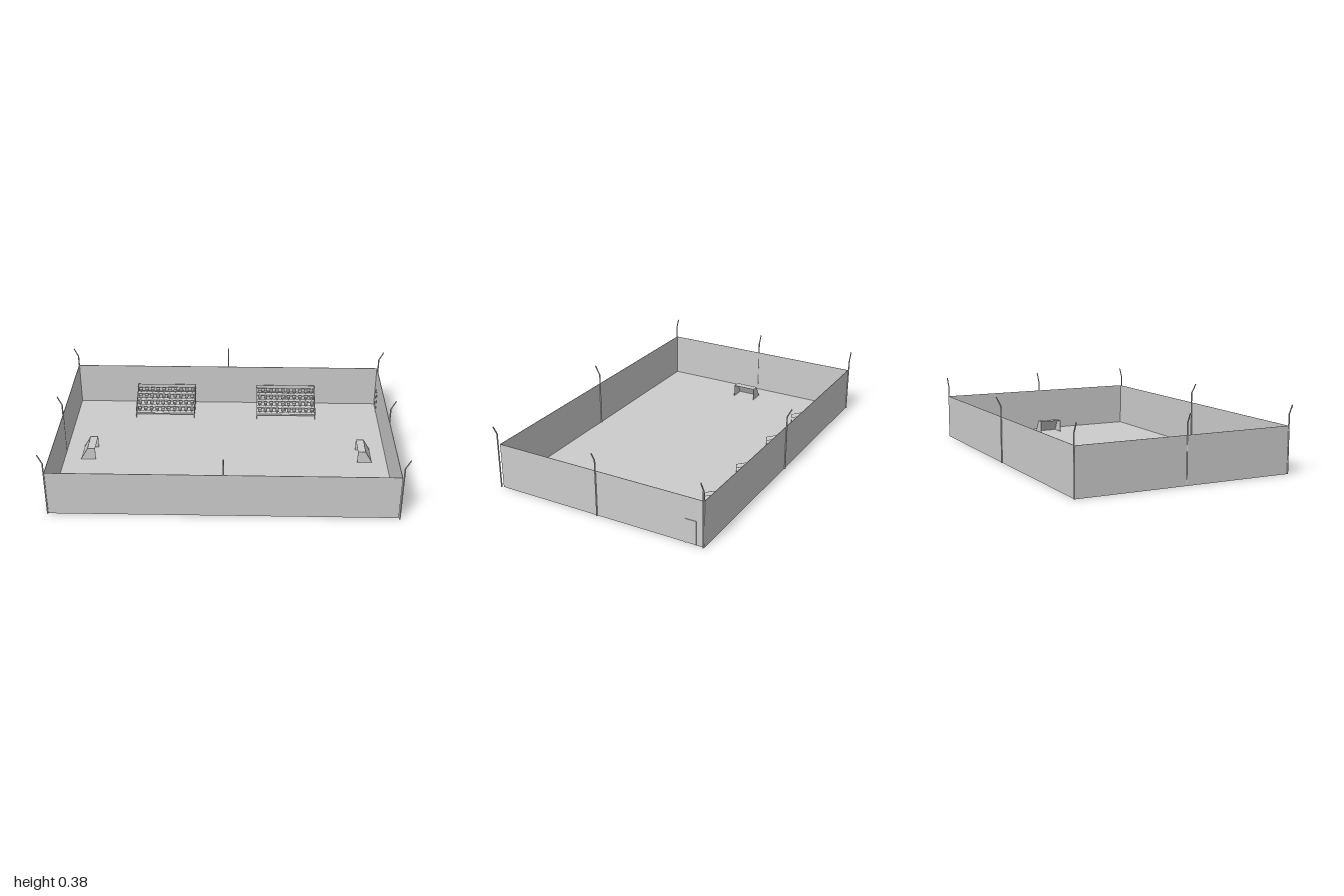
import * as THREE from 'three';

const mat = new THREE.MeshStandardMaterial({ color: 0xcccccc, flatShading: true });
const thin = new THREE.MeshStandardMaterial({ color: 0xcccccc, flatShading: true, side: THREE.DoubleSide });

function box(parent, name, w, h, d, x, y, z) {
  const m = new THREE.Mesh(new THREE.BoxGeometry(w, h, d), mat);
  m.name = name;
  m.position.set(x, y, z);
  parent.add(m);
  return m;
}

// Straight bar between two points
function bar(parent, name, a, b, r, sides = 6) {
  const p = new THREE.Vector3(...a), q = new THREE.Vector3(...b);
  const dir = q.clone().sub(p);
  const m = new THREE.Mesh(new THREE.CylinderGeometry(r, r, dir.length(), sides), mat);
  m.name = name;
  m.position.copy(p).add(q).multiplyScalar(0.5);
  m.quaternion.setFromUnitVectors(new THREE.Vector3(0, 1, 0), dir.normalize());
  parent.add(m);
}

// Flat four-cornered panel
function panel(parent, name, corners) {
  const g = new THREE.BufferGeometry();
  g.setAttribute('position', new THREE.Float32BufferAttribute(corners.flat(), 3));
  g.setIndex([0, 1, 2, 0, 2, 3]);
  g.computeVertexNormals();
  const m = new THREE.Mesh(g, thin);
  m.name = name;
  parent.add(m);
}

// Lamp post whose bent head leans outward along (dx, dz)
function lampPost(x, z, dx, dz) {
  const g = new THREE.Group();
  g.name = 'lampPost';
  const r = 0.004;
  bar(g, 'pole', [x, 0, z], [x, 0.33, z], r, 8);
  bar(g, 'lampArm', [x, 0.329, z], [x + dx * 0.025, 0.382, z + dz * 0.025], r * 0.9, 8);
  return g;
}

// Goal with its mouth toward -x, centred on its own z
function goal() {
  const g = new THREE.Group();
  g.name = 'goal';
  const w = 0.07, h = 0.075, top = 0.043, back = 0.085, r = 0.0018;
  for (const z of [-w, w]) {
    bar(g, 'goalPost', [0, 0, z], [0, h, z], r);
    bar(g, 'topStay', [0, h, z], [top, h, z], r);
    bar(g, 'backStay', [top, h, z], [back, 0.002, z], r);
    bar(g, 'groundBar', [0, 0.002, z], [back, 0.002, z], r);
    panel(g, 'sideNet', [[0, 0, z], [back, 0, z], [top, h, z], [0, h, z]]);
  }
  for (const [x, y] of [[0, h], [top, h], [back, 0.002]])
    bar(g, 'crossbar', [x, y, -w], [x, y, w], r);
  panel(g, 'topNet', [[0, h, -w], [0, h, w], [top, h, w], [top, h, -w]]);
  panel(g, 'backNet', [[top, h, -w], [top, h, w], [back, 0, w], [back, 0, -w]]);
  return g;
}

// Stepped stand with rows of seats, facing +z
function bleacher() {
  const g = new THREE.Group();
  g.name = 'bleacher';
  const half = 0.187, rows = 4, seats = 10, pitch = 0.04, front = -0.445, r = 0.0016;
  for (let i = 0; i < rows; i++) {
    const y = 0.02 + i * 0.025, z = front - i * pitch - pitch / 2;
    box(g, 'stepBoard', half * 2, 0.004, pitch * 0.8, 0, y, z);
    box(g, 'stepBeam', half * 2, 0.006, 0.003, 0, y - 0.004, z + pitch * 0.4);
    for (let j = 0; j < seats; j++) {
      const x = (j - (seats - 1) / 2) * (half * 2 / seats);
      box(g, 'seat', 0.022, 0.004, 0.016, x, y + 0.016, z - 0.004);
      box(g, 'seatBack', 0.022, 0.016, 0.003, x, y + 0.025, z - 0.013);
      box(g, 'seatLeg', 0.005, 0.014, 0.005, x, y + 0.008, z - 0.005);
    }
    for (const x of [-half, 0, half])
      bar(g, 'supportLeg', [x, 0, z - pitch / 2], [x, y, z - pitch / 2], r);
  }
  // Side and back rails
  const zf = -0.421, zb = -0.62;
  for (const x of [-half, half]) {
    bar(g, 'frontPost', [x, 0, zf], [x, 0.058, zf], r);
    bar(g, 'backPost', [x, 0, zb], [x, 0.14, zb], r);
    bar(g, 'sideRail', [x, 0.058, zf], [x, 0.14, zb], r);
    bar(g, 'sideRail', [x, 0.035, zf], [x, 0.117, zb], r);
    bar(g, 'sideBeam', [x, 0.008, zf], [x, 0.09, zb], r);
  }
  for (const y of [0.095, 0.117, 0.14])
    bar(g, 'backRail', [-half, y, zb], [half, y, zb], r);
  return g;
}

export function createModel() {
  const model = new THREE.Group();
  model.name = 'sportsPitch';
  const x0 = -0.973, x1 = 0.965, z0 = -0.636, z1 = 0.636, h = 0.266, t = 0.003;
  const cx = (x0 + x1) / 2;

  // Ground and enclosing fence
  box(model, 'ground', x1 - x0, 0.003, z1 - z0, cx, 0.0015, 0);
  for (const z of [z0, z1]) box(model, 'longWall', x1 - x0, h, t, cx, h / 2, z);
  for (const x of [x0, x1]) box(model, 'endWall', t, h, z1 - z0, x, h / 2, 0);

  // Gate frame in the end wall
  const gx = x1 + 0.001;
  box(model, 'gateLeaf', 0.005, 0.133, 0.058, gx, 0.0695, -0.56);
  for (const z of [-0.59, -0.53]) box(model, 'gateJamb', 0.008, 0.138, 0.003, gx, 0.069, z);
  box(model, 'gateLintel', 0.008, 0.003, 0.063, gx, 0.138, -0.56);

  // Lamp posts around the fence
  for (const z of [-0.64, 0, 0.64]) {
    model.add(lampPost(-0.974, z, -1, 0));
    model.add(lampPost(0.971, z + 0.007, 1.1, 0));
  }
  model.add(lampPost(0, -0.641, 0, -1.1));
  model.add(lampPost(0, 0.631, 0, 1.2));

  // Goals facing each other
  for (const s of [-1, 1]) {
    const g = goal();
    g.position.set(s < 0 ? -0.785 : 0.79, 0.003, 0.014);
    if (s < 0) g.rotation.y = Math.PI;
    model.add(g);
  }

  // Spectator stands along the back
  for (const x of [-0.402, 0.375]) {
    const b = bleacher();
    b.position.x = x;
    model.add(b);
  }
  return model;
}
